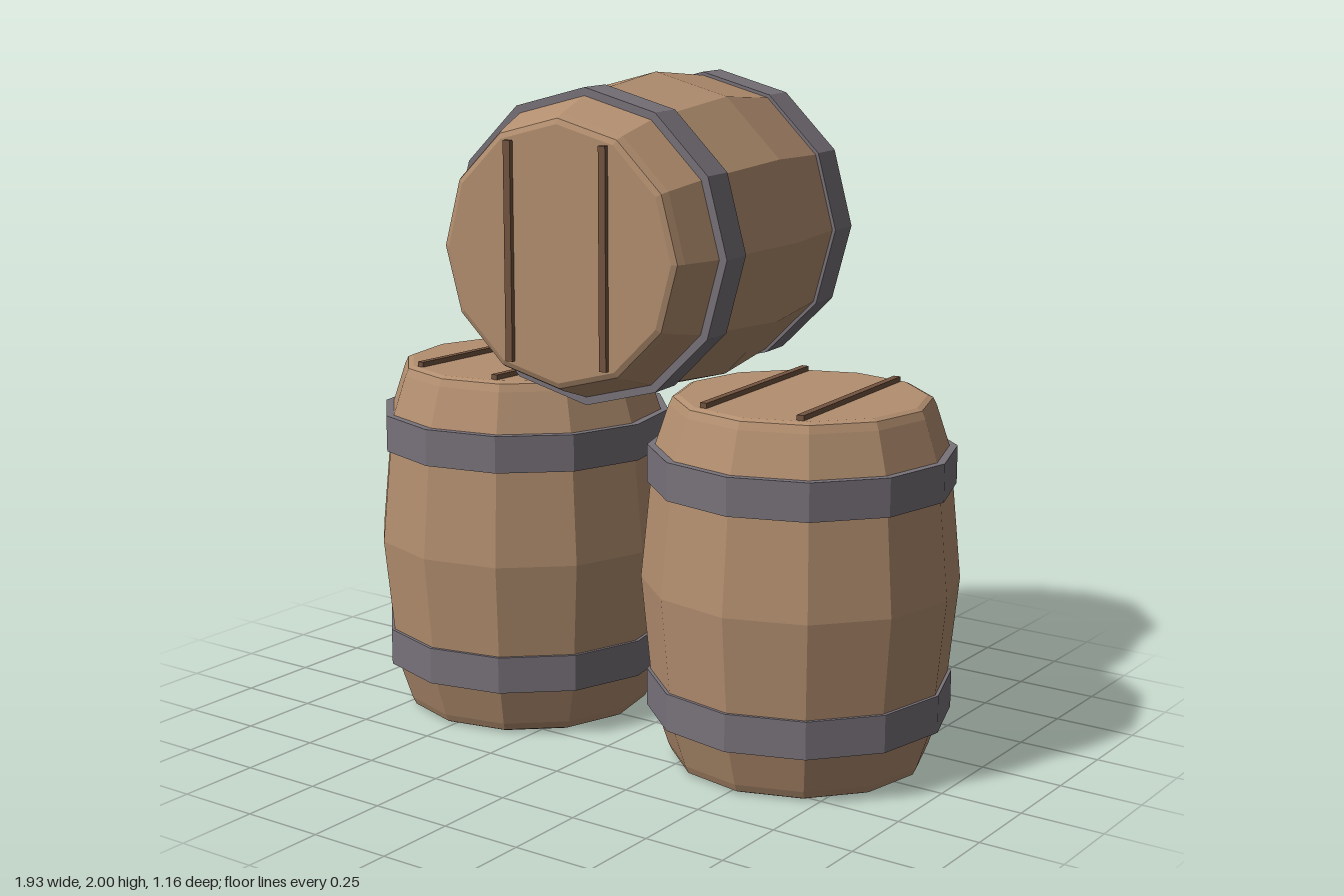
import * as THREE from 'three';

const SIDES = 12;
const HEIGHT = 1.095;

const wood = new THREE.MeshStandardMaterial({ color: 0xb28e6f });
wood.name = 'wood';
const iron = new THREE.MeshStandardMaterial({ color: 0x78727a });
iron.name = 'iron';
const darkWood = new THREE.MeshStandardMaterial({ color: 0x73543f });
darkWood.name = 'darkWood';

// Faceted lathe: every face gets its own flat normal
function facetedLathe(profile) {
  const points = profile.map(([r, y]) => new THREE.Vector2(r, y));
  const geometry = new THREE.LatheGeometry(points, SIDES).toNonIndexed();
  geometry.computeVertexNormals();
  return geometry;
}

function addMesh(parent, name, geometry, material) {
  const mesh = new THREE.Mesh(geometry, material);
  mesh.name = name;
  parent.add(mesh);
  return mesh;
}

// Lower half of the barrel outline, mirrored for the upper half
const lower = [[0, 0], [0.36, 0], [0.376, 0.007], [0.387, 0.03], [0.43, 0.16]];
const upper = lower.map(([r, y]) => [r, HEIGHT - y]).reverse();
const bodyGeometry = facetedLathe([...lower, [0.468, HEIGHT / 2], ...upper]);
const bandGeometry = facetedLathe([[0.41, -0.056], [0.45, -0.056], [0.45, 0.056], [0.41, 0.056]]);
const stripGeometry = new THREE.BoxGeometry(0.022, 0.03, 0.62);

// Barrel centred on its own middle, lid towards +y
function createBarrel(name) {
  const barrel = new THREE.Group();
  barrel.name = name;
  addMesh(barrel, 'barrelBody', bodyGeometry, wood).position.y = -HEIGHT / 2;
  for (const side of [-1, 1]) {
    addMesh(barrel, side < 0 ? 'lowerBand' : 'upperBand', bandGeometry, iron).position.y = side * 0.342;
    addMesh(barrel, 'lidStrip', stripGeometry, darkWood).position.set(side * 0.153, HEIGHT / 2, 0);
  }
  return barrel;
}

export function createModel() {
  const model = new THREE.Group();
  model.name = 'barrelStack';

  // Two standing barrels, each turned slightly
  const right = createBarrel('rightBarrel');
  right.position.set(-0.498, HEIGHT / 2, 0);
  right.rotation.y = -0.058;

  const left = createBarrel('leftBarrel');
  left.position.set(0.495, HEIGHT / 2, -0.036);
  left.rotation.y = 0.075;

  // Barrel lying across the two, lid to the front
  const top = createBarrel('topBarrel');
  top.position.set(0, 1.532, 0);
  top.rotation.set(Math.PI / 2, 0.098, 0, 'YXZ');

  model.add(right, left, top);
  return model;
}
